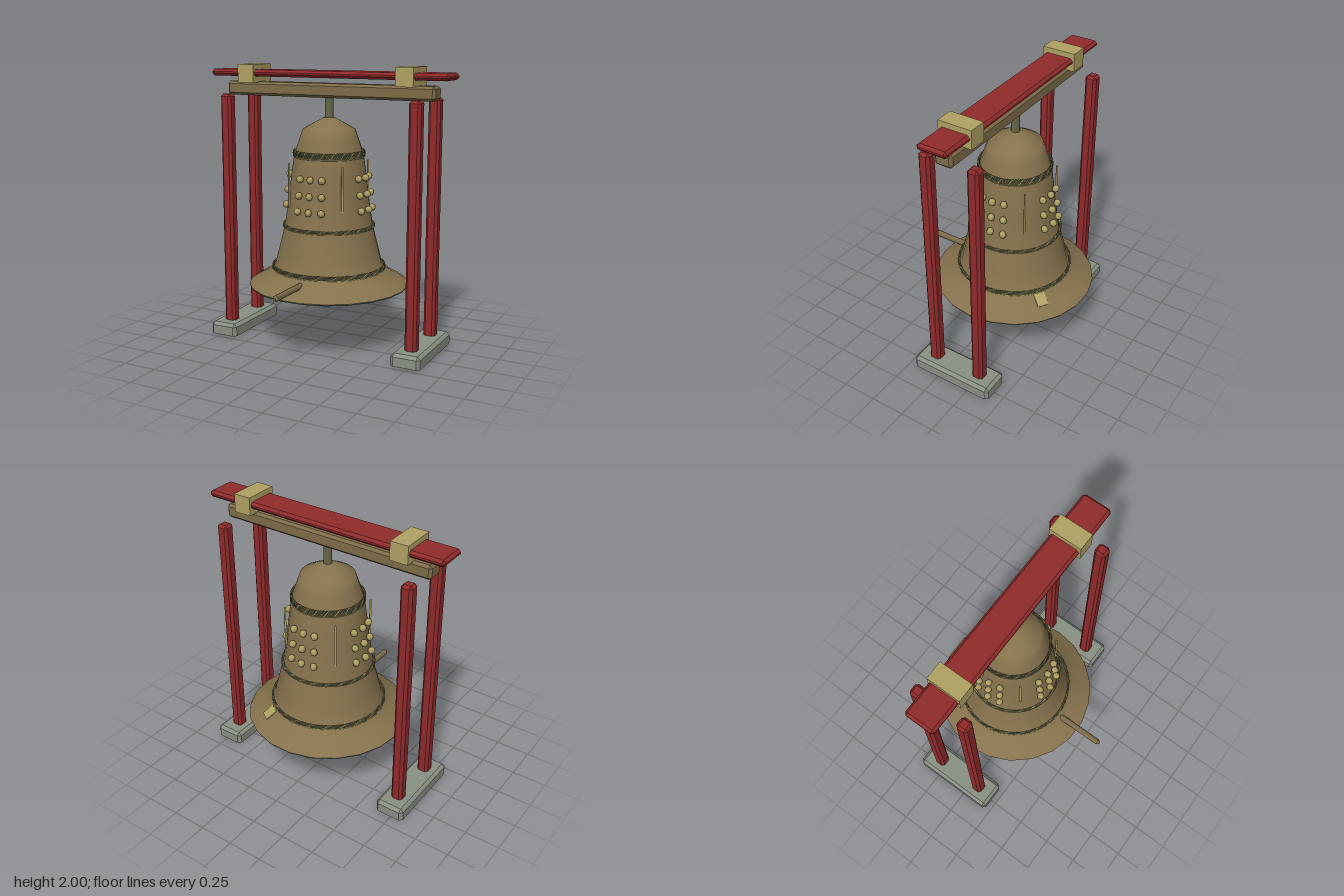
import * as THREE from 'three';
import { ConvexGeometry } from 'three/addons/geometries/ConvexGeometry.js';

const mat = (name, color) => {
  const m = new THREE.MeshStandardMaterial({ color });
  m.name = name;
  return m;
};

const BELL_Z = -0.105;
const SIDES = 22;

// Box with all edges cut at 45 degrees; faces whose normal has y below minY are left out
function chamferBox(w, h, d, c, minY = -2) {
  const pts = [];
  const x = w / 2, y = h / 2, z = d / 2;
  for (const i of [-1, 1]) for (const j of [-1, 1]) for (const k of [-1, 1]) {
    pts.push(new THREE.Vector3(i * x, j * (y - c), k * (z - c)));
    pts.push(new THREE.Vector3(i * (x - c), j * y, k * (z - c)));
    pts.push(new THREE.Vector3(i * (x - c), j * (y - c), k * z));
  }
  const full = new ConvexGeometry(pts);
  const p = full.attributes.position.array, n = full.attributes.normal.array;
  const pos = [], nor = [];
  for (let i = 0; i < p.length; i += 9) {
    if (n[i + 1] < minY) continue;
    pos.push(...p.slice(i, i + 9));
    nor.push(...n.slice(i, i + 9));
  }
  const geo = new THREE.BufferGeometry();
  geo.setAttribute('position', new THREE.Float32BufferAttribute(pos, 3));
  geo.setAttribute('normal', new THREE.Float32BufferAttribute(nor, 3));
  return geo;
}

// Upright hollow frame with cut corners, standing on y = 0
function hollowFrame(w, h, d, c, wall) {
  const outline = (x, z) => [
    [x, z - c], [x - c, z], [c - x, z], [-x, z - c], [-x, c - z], [c - x, -z], [x - c, -z], [x, c - z],
  ].map(([a, b]) => new THREE.Vector2(a, b));
  const shape = new THREE.Shape(outline(w / 2, d / 2));
  shape.holes.push(new THREE.Path(outline(w / 2 - wall, d / 2 - wall)));
  const geo = new THREE.ExtrudeGeometry(shape, { depth: h, bevelEnabled: false });
  return geo.rotateX(-Math.PI / 2);
}

// Closed ring that waves up and down, one strand of a braid
class WaveRing extends THREE.Curve {
  constructor(radius, amp, waves, phase) {
    super();
    Object.assign(this, { radius, amp, waves, phase });
  }
  getPoint(t, target = new THREE.Vector3()) {
    const a = t * Math.PI * 2, w = a * this.waves + this.phase;
    const r = this.radius + 0.003 * Math.cos(w);
    return target.set(r * Math.sin(a), this.amp * Math.sin(w), r * Math.cos(a));
  }
}

const lathe = (pts) => new THREE.LatheGeometry(
  pts.map(([r, y]) => new THREE.Vector2(r, y)), SIDES, Math.PI / 2);

export function createModel() {
  const bronze = mat('bronze', 0x86724d);
  const timber = mat('brown timber', 0x7e6c49);
  const gold = mat('pale gold', 0xb0a264);
  const olive = mat('dark olive metal', 0x66674a);
  const patina = mat('green patina', 0x66876f);
  const red = mat('red lacquer', 0x902a2b);
  const stone = mat('grey stone', 0x899083);

  const model = new THREE.Group();
  const add = (parent, name, geo, material, x = 0, y = 0, z = 0) => {
    const m = new THREE.Mesh(geo, material);
    m.name = name;
    m.position.set(x, y, z);
    parent.add(m);
    return m;
  };

  // Hollow stone feet with chamfered tops, and the posts set into them
  const footGeo = hollowFrame(0.215, 0.068, 0.625, 0.022, 0.02);
  const footTopGeo = chamferBox(0.215, 0.09, 0.625, 0.022, 0.5);
  const postGeo = chamferBox(0.085, 1.74, 0.085, 0.018);
  for (const s of [-1, 1]) {
    add(model, 'footWalls', footGeo, stone, s * 0.73, 0, BELL_Z);
    add(model, 'footTop', footTopGeo, stone, s * 0.73, 0.045, BELL_Z);
    for (const f of [-1, 1]) add(model, 'post', postGeo, red, s * 0.73, 0.92, BELL_Z + f * 0.18);
  }

  // Cross beam, top plank and the blocks that hold it
  add(model, 'crossBeam', chamferBox(1.62, 0.1, 0.13, 0.018), timber, 0, 1.825, BELL_Z);
  add(model, 'topPlank', chamferBox(1.84, 0.048, 0.22, 0.018), red, 0, 1.938, BELL_Z);
  const blockGeo = new THREE.BoxGeometry(0.13, 0.13, 0.245);
  for (const s of [-1, 1]) add(model, 'plankBlock', blockGeo, gold, s * 0.615, 1.935, BELL_Z);

  // Bell
  const bell = new THREE.Group();
  bell.name = 'bell';
  bell.position.z = BELL_Z;
  model.add(bell);

  add(bell, 'bellBody', lathe([
    [0.58, 0.436], [0.525, 0.47], [0.465, 0.503], [0.415, 0.545], [0.387, 0.585],
    [0.365, 0.68], [0.34, 0.775], [0.318, 0.87], [0.298, 1.0], [0.284, 1.11],
    [0.27, 1.225], [0.254, 1.34], [0.237, 1.41], [0.212, 1.485], [0.188, 1.555],
    [0.11, 1.598], [0.04, 1.635], [0, 1.637]]), bronze);
  add(bell, 'bellLip', lathe([[0.56, 0.42], [0.575, 0.426], [0.58, 0.436]]), patina);
  const under = new THREE.CircleGeometry(0.56, SIDES, Math.PI / SIDES * 2);
  under.rotateX(Math.PI / 2);
  add(bell, 'bellUnderside', under, patina, 0, 0.42, 0);
  add(bell, 'hanger', new THREE.CylinderGeometry(0.03, 0.03, 0.16, 10), olive, 0, 1.705, 0);

  // Braided bands with a fine pale edge
  for (const [radius, y, amp] of [[0.25, 1.385, 0.019], [0.325, 0.868, 0.006], [0.404, 0.565, 0.011]]) {
    const band = new THREE.Group();
    band.name = 'braidedBand';
    band.position.y = y;
    bell.add(band);
    for (let i = 0; i < 4; i++) {
      const curve = new WaveRing(radius, amp, 22, i * Math.PI / 2);
      add(band, 'strand', new THREE.TubeGeometry(curve, 264, 0.006, 5, true), i === 0 ? gold : olive);
    }
    const edge = new THREE.TorusGeometry(radius + 0.005, 0.004, 4, 44);
    edge.rotateX(Math.PI / 2);
    add(band, 'bandEdge', edge, gold, 0, -amp - 0.004, 0);
  }

  // Four panels of nine studs, with upright strips between them
  const studGeo = new THREE.SphereGeometry(0.027, 6, 4);
  const stripGeo = new THREE.BoxGeometry(0.012, 0.32, 0.012);
  for (let side = 0; side < 4; side++) {
    const a = side * Math.PI / 2;
    for (const [y, r] of [[1.225, 0.288], [1.11, 0.302], [1.0, 0.315]]) {
      for (const k of [-1, 0, 1]) {
        const b = a + k * 0.3;
        add(bell, 'stud', studGeo, gold, r * Math.sin(b), y, r * Math.cos(b)).rotation.y = b;
      }
    }
    const c = a + Math.PI / 4;
    add(bell, 'strip', stripGeo, gold, 0.297 * Math.sin(c), 1.16, 0.297 * Math.cos(c)).rotation.y = c;
  }

  // Pale patch lying on the flare
  const patchAngle = Math.atan2(0.245, -0.375);
  const patch = add(bell, 'patch', new THREE.BoxGeometry(0.08, 0.02, 0.09), gold,
    0.448 * Math.sin(patchAngle), 0.511, 0.448 * Math.cos(patchAngle));
  patch.rotation.set(0.58, patchAngle, 0, 'YXZ');

  // Striker rod
  const rod = new THREE.CylinderGeometry(0.022, 0.022, 0.34, 8);
  rod.rotateX(Math.PI / 2);
  add(model, 'striker', rod, timber, 0, 0.51, 0.49);
  const tip = new THREE.CylinderGeometry(0.01, 0.022, 0.018, 8);
  tip.rotateX(Math.PI / 2);
  add(model, 'strikerTip', tip, timber, 0, 0.51, 0.669);

  return model;
}
